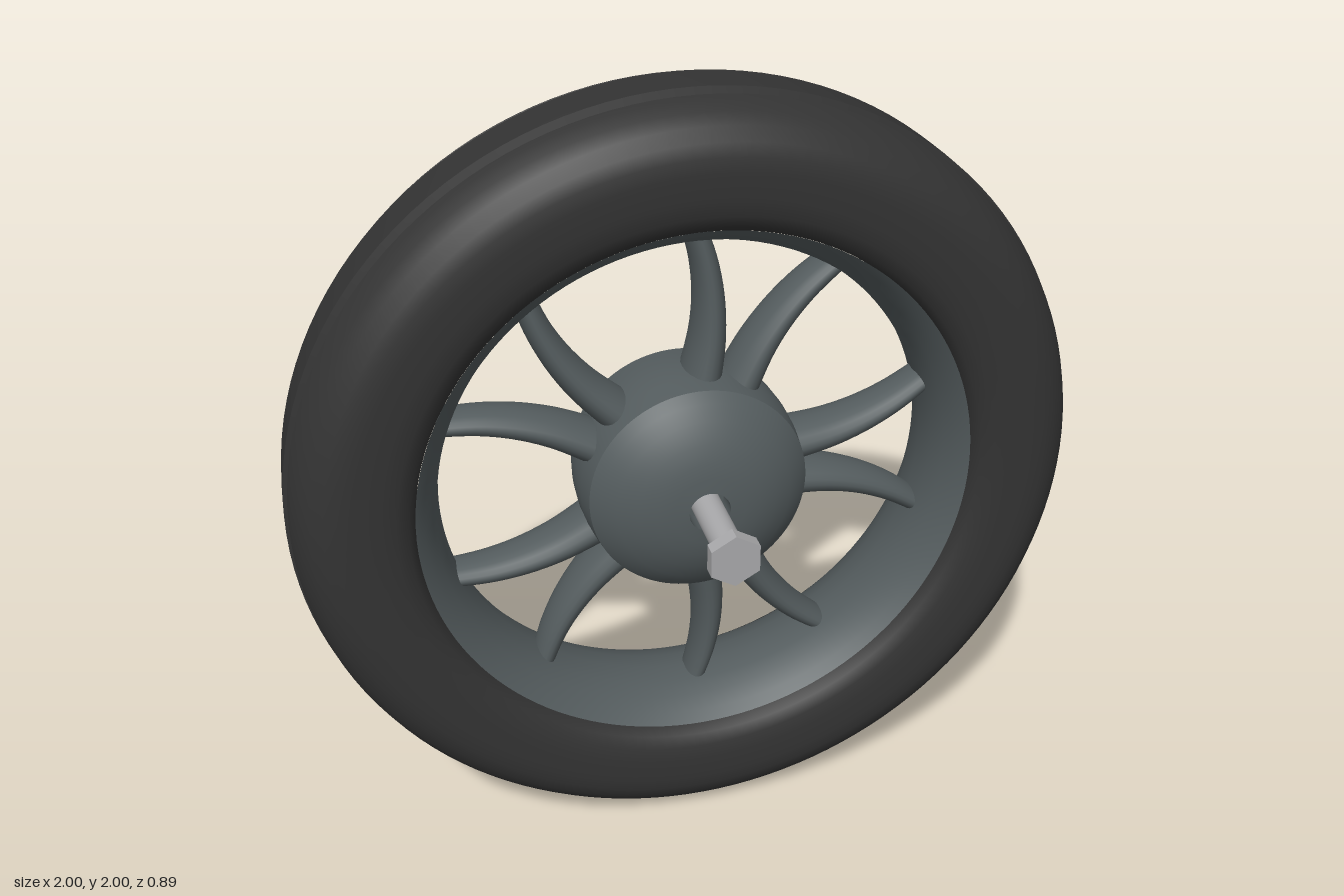
import * as THREE from 'three';
import { mergeGeometries, mergeVertices } from 'three/addons/utils/BufferGeometryUtils.js';

const mat = (name, color) => {
  const m = new THREE.MeshStandardMaterial({ color });
  m.name = name;
  return m;
};

// Revolves profile pieces [radius, z] around the z axis; each piece is smooth, with sharp edges between pieces.
function revolve(pieces, segments = 96) {
  const parts = pieces.map(p =>
    new THREE.LatheGeometry(p.map(([r, z]) => new THREE.Vector2(r, z)), segments));
  return mergeGeometries(parts).rotateX(Math.PI / 2);
}

// The same piece on the other side of the wheel, in reverse order to keep faces outward.
const flip = piece => piece.map(([r, z]) => [r, -z]).reverse();

// Curved, tapering spoke with an oval section; side is +1 or -1 and mirrors the bend.
function spokeGeometry(side) {
  const path = new THREE.CatmullRomCurve3(
    [[0.2, 0.045], [0.283, 0.053], [0.375, 0.068], [0.465, 0.096], [0.545, 0.134], [0.61, 0.176], [0.632, 0.192]]
      .map(([x, y]) => new THREE.Vector3(x, side * y, 0)));
  const g = new THREE.CylinderGeometry(1, 1, 1, 20, 20, true);
  const pos = g.attributes.position;
  for (let i = 0; i < pos.count; i++) {
    const t = THREE.MathUtils.clamp(pos.getY(i) + 0.5, 0, 1);
    const c = path.getPointAt(t), d = path.getTangentAt(t);
    const w = THREE.MathUtils.lerp(0.056, 0.028, Math.pow(t, 0.8)) * pos.getX(i);
    const depth = THREE.MathUtils.lerp(0.09, 0.055, t) * pos.getZ(i);
    pos.setXYZ(i, c.x + d.y * w, c.y - d.x * w, depth);
  }
  g.deleteAttribute('normal');
  g.deleteAttribute('uv');
  const merged = mergeVertices(g, 1e-5);
  merged.computeVertexNormals();
  return merged;
}

export function createModel() {
  const rubber = mat('black rubber', 0x333333);
  const metal = mat('grey metal', 0x545c5e);
  const steel = mat('light steel', 0xa9a9ab);

  const model = new THREE.Group();
  model.name = 'wheel';
  const wheel = new THREE.Group();
  wheel.name = 'wheelAssembly';
  wheel.position.y = 1;
  model.add(wheel);
  const add = (name, geometry, material, parent = wheel) => {
    const m = new THREE.Mesh(geometry, material);
    m.name = name;
    parent.add(m);
    return m;
  };

  // Tyre: rounded sidewalls and shoulders, with two grooves round the tread
  const shoulder = [[0.99, 0.095], [0.984, 0.115], [0.968, 0.15], [0.945, 0.179], [0.915, 0.201], [0.885, 0.212],
    [0.85, 0.216], [0.79, 0.215], [0.75, 0.209], [0.72, 0.194], [0.704, 0.172], [0.7, 0.15]];
  const grooveOut = [[0.978, 0.09], [0.99, 0.095]];
  const grooveFloor = [[0.978, 0.07], [0.978, 0.09]];
  const grooveIn = [[0.999, 0.064], [0.978, 0.07]];
  const half = [grooveIn, grooveFloor, grooveOut, shoulder];
  const tread = [[0.999, -0.064], [1, 0], [0.999, 0.064]];
  add('tyre', revolve([...half.map(flip), tread, ...half], 128), rubber);

  // Rim: band inside the tyre, bulging towards the hub
  add('rim', revolve([[[0.703, 0.17], [0.68, 0.145], [0.657, 0.105], [0.64, 0.06], [0.632, 0],
    [0.64, -0.06], [0.657, -0.105], [0.68, -0.145], [0.703, -0.17]]], 128), metal);

  // Hub: two domes with a small bore, joined by a barrel-shaped band
  const dome = [[0.278, 0.12], [0.255, 0.145], [0.22, 0.173], [0.175, 0.197], [0.13, 0.213], [0.09, 0.22], [0.052, 0.224]];
  const bore = [[0.052, 0.224], [0.052, 0.16]];
  const boreFloor = [[0.052, 0.16], [0.02, 0.16]];
  const hubSide = [dome, bore, boreFloor];
  const band = [[0.278, -0.12], [0.287, -0.06], [0.29, 0], [0.287, 0.06], [0.278, 0.12]];
  add('hub', revolve([...hubSide.map(flip), band, ...hubSide]), metal);

  // Spokes: five mirrored pairs
  const spokes = new THREE.Group();
  spokes.name = 'spokes';
  wheel.add(spokes);
  for (const side of [1, -1]) {
    const g = spokeGeometry(side);
    for (let i = 0; i < 5; i++) {
      add('spoke', g, metal, spokes).rotation.z = i * Math.PI * 2 / 5;
    }
  }

  // Axle with a hexagonal head at each end
  add('axle', new THREE.CylinderGeometry(0.037, 0.037, 0.84, 32).rotateX(Math.PI / 2), steel);
  const head = new THREE.CylinderGeometry(0.068, 0.068, 0.036, 6).rotateX(Math.PI / 2).toNonIndexed();
  head.computeVertexNormals();
  for (const s of [1, -1]) add('axleHead', head, steel).position.z = s * 0.427;

  return model;
}
